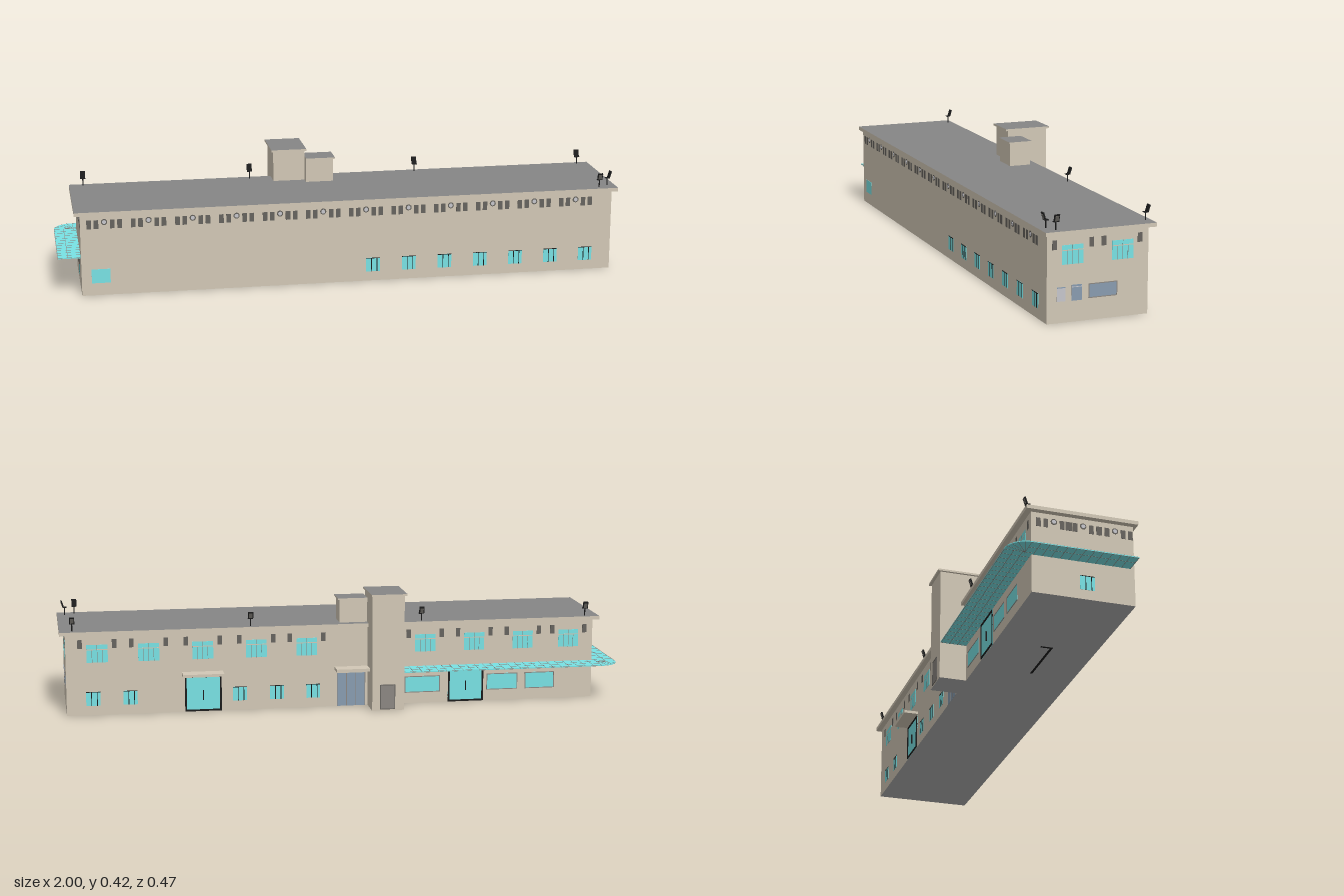
import * as THREE from 'three';

const mat = (name, color) => Object.assign(new THREE.MeshStandardMaterial({ color }), { name });

export function createModel() {
  const wall = mat('wall', 0xd2c8b6), roof = mat('roof', 0x868686), teal = mat('tealGlass', 0x78e2e4);
  const blue = mat('blueGlass', 0x889cb0), pale = mat('paleGrey', 0xc6c6cc), black = mat('blackFrame', 0x1c1c1c);
  const ventGrey = mat('ventGrey', 0x66635e), bar = mat('greyFrame', 0x8c8782), floor = mat('floor', 0xb0b0b0);
  const model = new THREE.Group();
  model.name = 'longBuilding';

  const add = (parent, name, geo, m, x, y, z) => {
    const mesh = new THREE.Mesh(geo, m);
    mesh.name = name;
    mesh.position.set(x, y, z);
    parent.add(mesh);
    return mesh;
  };
  // Box given by its limits
  const block = (name, x0, x1, y0, y1, z0, z1, m) => add(model, name,
    new THREE.BoxGeometry(x1 - x0, y1 - y0, z1 - z0), m, (x0 + x1) / 2, (y0 + y1) / 2, (z0 + z1) / 2);

  const slabMats = [wall, wall, roof, wall, wall, wall];
  const bodyMats = [wall, wall, wall, floor, wall, wall];

  // Masses and roof slabs
  block('mainBody', -0.92, 0.98, 0.001, 0.29, -0.128, 0.223, bodyMats);
  block('mainRoof', -0.94, 1, 0.29, 0.303, -0.148, 0.235, slabMats);
  block('tower', -0.205, -0.09, 0.001, 0.413, -0.224, -0.073, bodyMats);
  block('towerRoof', -0.213, -0.085, 0.413, 0.42, -0.234, -0.063, slabMats);
  block('roofHouse', -0.09, 0.01, 0.303, 0.386, -0.118, -0.04, wall);
  block('roofHouseRoof', -0.09, 0.016, 0.386, 0.391, -0.123, -0.036, slabMats);
  block('doorCanopy', -0.09, 0.03, 0.135, 0.145, -0.18, -0.128, wall);
  block('doorCanopy', 0.43, 0.575, 0.135, 0.145, -0.18, -0.128, wall);

  // Dark strips on the underside
  block('floorStrip', -0.54, -0.33, 0, 0.002, 0.064, 0.072, black);
  block('floorStrip', -0.548, -0.54, 0, 0.002, 0.03, 0.072, black);

  // Wall frames: local z points out of the wall
  const face = (name, x, z, ry) => {
    const g = new THREE.Group();
    g.name = name;
    g.position.set(x, 0, z);
    g.rotation.y = ry;
    model.add(g);
    return g;
  };
  const front = face('frontDetails', 0, 0.223, 0);
  const right = face('rightEndDetails', -0.92, 0, -Math.PI / 2);
  const left = face('leftEndDetails', 0.98, 0, Math.PI / 2);
  const back = face('backDetails', 0, -0.128, Math.PI);
  const towerBack = face('towerDetails', 0, -0.224, Math.PI);

  const plate = (g, name, u, y, w, h, m, t = 0.001) =>
    add(g, name, new THREE.BoxGeometry(w, h, t), m, u, y, t / 2);
  const frame = (g, u, y, w, h, m, b = 0.004, t = 0.002) => {
    for (const s of [-1, 1]) {
      plate(g, 'frameSide', u + s * (w - b) / 2, y, b, h, m, t);
      plate(g, 'frameRail', u, y + s * (h - b) / 2, w, b, m, t);
    }
  };
  const upperWindow = (g, u) => {
    plate(g, 'upperWindow', u, 0.2215, 0.074, 0.063, teal);
    plate(g, 'transom', u, 0.236, 0.074, 0.003, wall, 0.0015);
    plate(g, 'upperMullion', u, 0.245, 0.0014, 0.016, bar, 0.0015);
    for (const d of [-0.018, 0, 0.018])
      plate(g, 'mullion', u + d, 0.212, 0.0016, 0.045, bar, 0.0015);
  };
  const lowerWindow = (g, u) => {
    plate(g, 'lowerWindow', u, 0.06, 0.05, 0.05, teal);
    plate(g, 'windowHead', u, 0.084, 0.05, 0.002, black, 0.002);
    for (const d of [-0.006, 0.014])
      plate(g, 'mullion', u + d, 0.06, 0.0025, 0.05, black, 0.002);
  };
  const vent = (g, u) => plate(g, 'vent', u, 0.256, 0.016, 0.031, ventGrey);
  // Vents either side of a round, rimmed outlet
  const ventGroup = (g, u) => {
    for (const d of [-0.053, -0.028, 0.028, 0.053]) vent(g, u + d);
    for (const [r, t, m] of [[0.011, 0.001, ventGrey], [0.007, 0.002, pale]])
      add(g, 'roundOutlet', new THREE.CylinderGeometry(r, r, t, 12), m, u, 0.264, t / 2).rotation.x = Math.PI / 2;
  };

  // Front
  for (let i = 0; i < 12; i++) ventGroup(front, -0.837 + i * 0.153);
  for (let i = 0; i < 7; i++) lowerWindow(front, 0.107 + i * 0.13);
  plate(front, 'plainWindow', -0.853, 0.07, 0.065, 0.05, teal);

  // Model's left end (+x); u = -z
  for (const z of [0.197, 0.07, 0.028, -0.098]) vent(left, -z);
  for (const z of [0.135, -0.038]) upperWindow(left, -z);
  plate(left, 'wideWindow', -0.03, 0.097, 0.1, 0.048, blue);
  frame(left, -0.03, 0.097, 0.1, 0.048, bar, 0.003);
  plate(left, 'blueWindow', -0.12, 0.096, 0.035, 0.052, blue);
  plate(left, 'paleWindow', -0.174, 0.094, 0.029, 0.046, pale);
  plate(left, 'paleWindowHead', -0.174, 0.116, 0.029, 0.003, blue, 0.002);
  plate(left, 'blindRail', -0.12, 0.115, 0.033, 0.002, pale, 0.002);

  // Model's right end (-x); u = z
  for (const z of [-0.05, 0.05, 0.16]) ventGroup(right, z);
  lowerWindow(right, 0.06);

  // Back; u = -x
  for (const x of [0.87, 0.69, 0.5, 0.31, 0.13, -0.3, -0.48, -0.66, -0.83]) {
    upperWindow(back, -x);
    for (const s of [-1, 1]) vent(back, -x + s * 0.06);
  }
  for (const x of [0.887, 0.757, 0.37, 0.237, 0.107]) lowerWindow(back, -x);
  for (const [x, w] of [[-0.29, 0.13], [-0.585, 0.115], [-0.725, 0.11]]) {
    plate(back, 'shopWindow', -x, 0.07, w, 0.06, teal);
    frame(back, -x, 0.07, w, 0.06, bar, 0.003);
  }
  for (const x of [0.5, -0.45]) {
    plate(back, 'glassDoor', -x, 0.066, 0.13, 0.128, teal);
    frame(back, -x, 0.066, 0.13, 0.128, black, 0.006, 0.004);
    plate(back, 'doorHandle', -x, 0.06, 0.003, 0.035, black, 0.006);
  }
  plate(back, 'blueDoor', 0.03, 0.061, 0.1, 0.12, blue);
  for (const d of [-0.05, -0.017, 0.017, 0.05]) plate(back, 'doorPost', 0.03 + d, 0.061, 0.003, 0.12, bar, 0.002);
  plate(towerBack, 'towerDoor', 0.145, 0.05, 0.055, 0.09, bar);
  frame(towerBack, 0.145, 0.05, 0.055, 0.09, ventGrey, 0.003);

  // Glass canopy wrapping the back corner, drawn as (x, -z)
  const shape = new THREE.Shape();
  shape.moveTo(-0.205, 0.128);
  shape.lineTo(-0.205, 0.222);
  shape.lineTo(-0.93, 0.222);
  shape.absarc(-0.93, 0.152, 0.07, Math.PI / 2, Math.PI, false);
  shape.lineTo(-1, -0.21);
  shape.lineTo(-0.92, -0.21);
  shape.lineTo(-0.92, 0.128);
  const canopyGeo = new THREE.ExtrudeGeometry(shape, { depth: 0.003, bevelEnabled: false, curveSegments: 10 });
  canopyGeo.rotateX(-Math.PI / 2);
  add(model, 'glassCanopy', canopyGeo, teal, 0, 0.134, 0);
  // Glazing bars
  const t = 0.0008;
  const rail = (x0, x1, z0, z1) => block('glazingBar', x0, x1, 0.1335, 0.1375, z0, z1, bar);
  for (const z of [-0.221, -0.19, -0.16]) rail(-0.93, -0.205, z - t, z + t);
  for (const x of [-0.999, -0.965]) rail(x - t, x + t, -0.152, 0.21);
  for (let i = 0; i < 25; i++) rail(-0.93 + i * 0.03 - t, -0.93 + i * 0.03 + t, -0.222, -0.128);
  for (let i = 0; i < 13; i++) rail(-1, -0.92, -0.152 + i * 0.03 - t, -0.152 + i * 0.03 + t);
  for (let i = 1; i < 5; i++) {
    const a = Math.PI / 2 + i * Math.PI / 10;
    add(model, 'cornerBar', new THREE.BoxGeometry(0.07, 0.004, 2 * t), bar,
      -0.93 + Math.cos(a) * 0.035, 0.1355, -0.152 - Math.sin(a) * 0.035).rotation.y = a;
  }

  // Floodlights on the roof: x, z, facing angle
  const lights = [[-0.89, -0.128, Math.PI], [-0.285, -0.128, Math.PI], [0.33, -0.128, Math.PI],
    [0.955, -0.128, Math.PI], [0.937, 0.209, 0], [0.972, 0.19, Math.PI / 2]];
  for (const [x, z, ry] of lights) {
    const g = new THREE.Group();
    g.name = 'floodlight';
    g.position.set(x, 0.303, z);
    g.rotation.y = ry;
    model.add(g);
    add(g, 'post', new THREE.CylinderGeometry(0.002, 0.002, 0.028, 8), black, 0, 0.014, 0);
    add(g, 'bracket', new THREE.BoxGeometry(0.018, 0.002, 0.014), black, 0, 0.027, 0);
    const head = add(g, 'lampHead', new THREE.BoxGeometry(0.018, 0.026, 0.005), black, 0, 0.039, 0.008);
    head.rotation.x = 0.3;
    add(head, 'lampGlass', new THREE.BoxGeometry(0.012, 0.018, 0.001), ventGrey, 0, 0, 0.0028);
  }
  return model;
}
